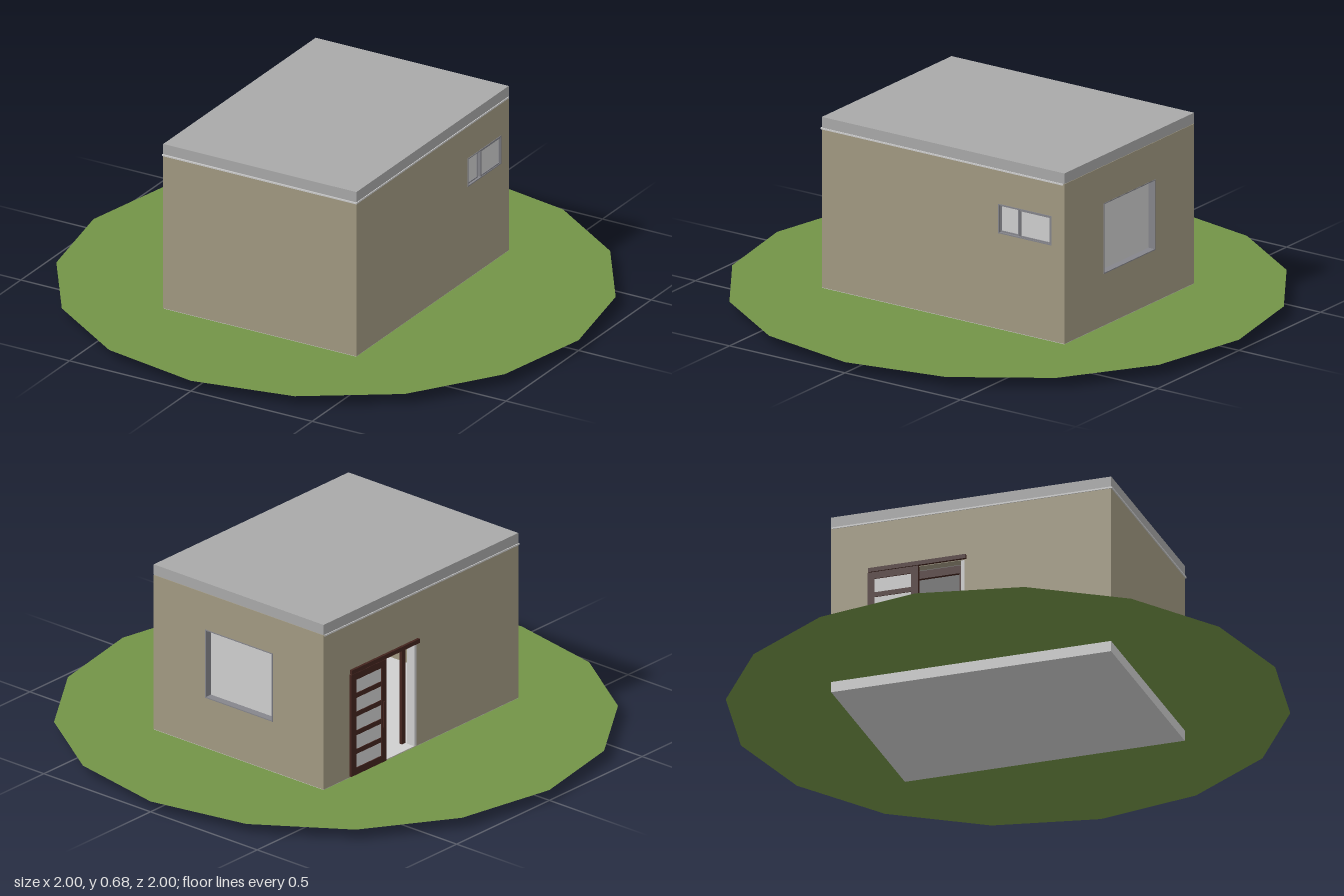
import * as THREE from 'three';

const mat = (name, color) => new THREE.MeshStandardMaterial({ name, color });

export function createModel() {
  const grass = mat('grass green', 0x739447);
  grass.side = THREE.DoubleSide;
  const wallPaint = mat('wall beige', 0xa29a82);
  const concrete = mat('roof grey', 0xa9a9a9);
  const light = mat('light grey', 0xcfcfcf);
  const metal = mat('frame grey', 0x86868c);
  const wood = mat('dark wood', 0x43241e);

  const model = new THREE.Group();
  const W = 0.796, D = 1.05, T = 0.035, Y0 = 0.042, Y1 = 0.64;

  function box(parent, name, material, [w, h, d], [x, y, z]) {
    const mesh = new THREE.Mesh(new THREE.BoxGeometry(w, h, d), material);
    mesh.name = name;
    mesh.position.set(x, y, z);
    parent.add(mesh);
    return mesh;
  }

  // Wall in its own frame: outer face at z = 0, holes as [x0, y0, x1, y1]
  function wall(name, width, angle, x, z, holes = []) {
    const group = new THREE.Group();
    group.name = name;
    const shape = new THREE.Shape();
    const rect = (path, x0, y0, x1, y1) =>
      path.moveTo(x0, y0).lineTo(x1, y0).lineTo(x1, y1).lineTo(x0, y1).closePath();
    rect(shape, -width / 2, Y0, width / 2, Y1);
    for (const h of holes) {
      const hole = new THREE.Path();
      rect(hole, ...h);
      shape.holes.push(hole);
    }
    const geo = new THREE.ExtrudeGeometry(shape, { depth: T, bevelEnabled: false });
    geo.translate(0, 0, -T);
    const mesh = new THREE.Mesh(geo, wallPaint);
    mesh.name = name + 'Panel';
    group.add(mesh);
    group.rotation.y = angle;
    group.position.set(x, 0, z);
    model.add(group);
    return group;
  }

  // Four bars lining the inside of a rectangle
  function frame(parent, name, material, [x0, y0, x1, y1], bar, depth, z) {
    const cx = (x0 + x1) / 2, cy = (y0 + y1) / 2;
    for (const x of [x0 + bar / 2, x1 - bar / 2])
      box(parent, name + 'Side', material, [bar, y1 - y0, depth], [x, cy, z]);
    for (const y of [y0 + bar / 2, y1 - bar / 2])
      box(parent, name + 'Rail', material, [x1 - x0 - 2 * bar, bar, depth], [cx, y, z]);
  }

  // Lawn: flat sixteen-sided disc
  const lawn = new THREE.Mesh(new THREE.CircleGeometry(1, 16), grass);
  lawn.name = 'lawn';
  lawn.rotation.x = -Math.PI / 2;
  lawn.position.y = 0.04;
  model.add(lawn);

  // Floor slab, ceiling board and flat roof
  box(model, 'floorSlab', light, [W - 0.002, 0.044, D - 0.002], [0, 0.022, 0]);
  box(model, 'ceilingBoard', light, [W + 0.006, 0.006, D], [0, 0.638, 0.004]);
  box(model, 'roof', concrete, [W, 0.04, D], [0, 0.661, 0]);

  // Walls
  const sideLen = D - 2 * T;
  const rearOpening = [-0.157, 0.235, 0.16, 0.5];
  const sideOpening = [0.24, 0.4, 0.47, 0.51];
  const doorOpening = [-0.375, Y0 + 0.001, -0.025, 0.44];
  wall('frontWall', W, 0, 0, D / 2);
  const rear = wall('backWall', W, Math.PI, 0, -D / 2, [rearOpening]);
  const left = wall('leftWall', sideLen, Math.PI / 2, W / 2, 0, [sideOpening]);
  const right = wall('rightWall', sideLen, -Math.PI / 2, -W / 2, 0, [doorOpening]);

  // Large recessed back window
  frame(rear, 'backWindowFrame', metal, rearOpening, 0.004, T, 0);
  rear.children.slice(1).forEach((m) => { m.position.z = -T / 2 + 0.001; });
  box(rear, 'backWindowPane', light, [0.309, 0.257, 0.006], [0.0015, 0.3675, -0.03]);

  // Small sliding side window with two sashes
  frame(left, 'sideWindowFrame', metal, sideOpening, 0.004, 0.024, -0.01);
  for (const [x0, x1, z] of [[0.244, 0.324, -0.012], [0.331, 0.466, -0.006]]) {
    frame(left, 'sash', metal, [x0, 0.404, x1, 0.506], 0.005, 0.012, z);
    box(left, 'sashPane', light, [x1 - x0 - 0.01, 0.092, 0.004], [(x0 + x1) / 2, 0.455, z]);
  }

  // Sliding door leaf with five panes, hung on a rail
  const leaf = [-0.385, 0.046, -0.195, 0.44];
  frame(right, 'doorLeaf', wood, leaf, 0.026, 0.012, 0.003);
  box(right, 'doorPanes', light, [0.14, 0.345, 0.004], [-0.29, 0.243, 0.003]);
  for (let i = 1; i < 5; i++)
    box(right, 'doorBar', wood, [0.138, 0.018, 0.01], [-0.29, 0.062 + i * 0.0725, 0.003]);
  box(right, 'doorHandle', wood, [0.008, 0.1, 0.006], [-0.21, 0.23, 0.01]);
  box(right, 'doorRail', wood, [0.365, 0.016, 0.016], [-0.2, 0.45, 0.002]);
  box(right, 'doorJamb', light, [0.012, 0.394, T], [-0.031, 0.242, -T / 2 + 0.001]);

  // Dark trim inside the doorway
  box(right, 'innerPost', wood, [0.02, 0.39, 0.012], [-0.047, 0.242, -0.045]);
  box(right, 'innerLintel', wood, [0.34, 0.03, 0.012], [-0.2, 0.425, -0.045]);

  return model;
}
